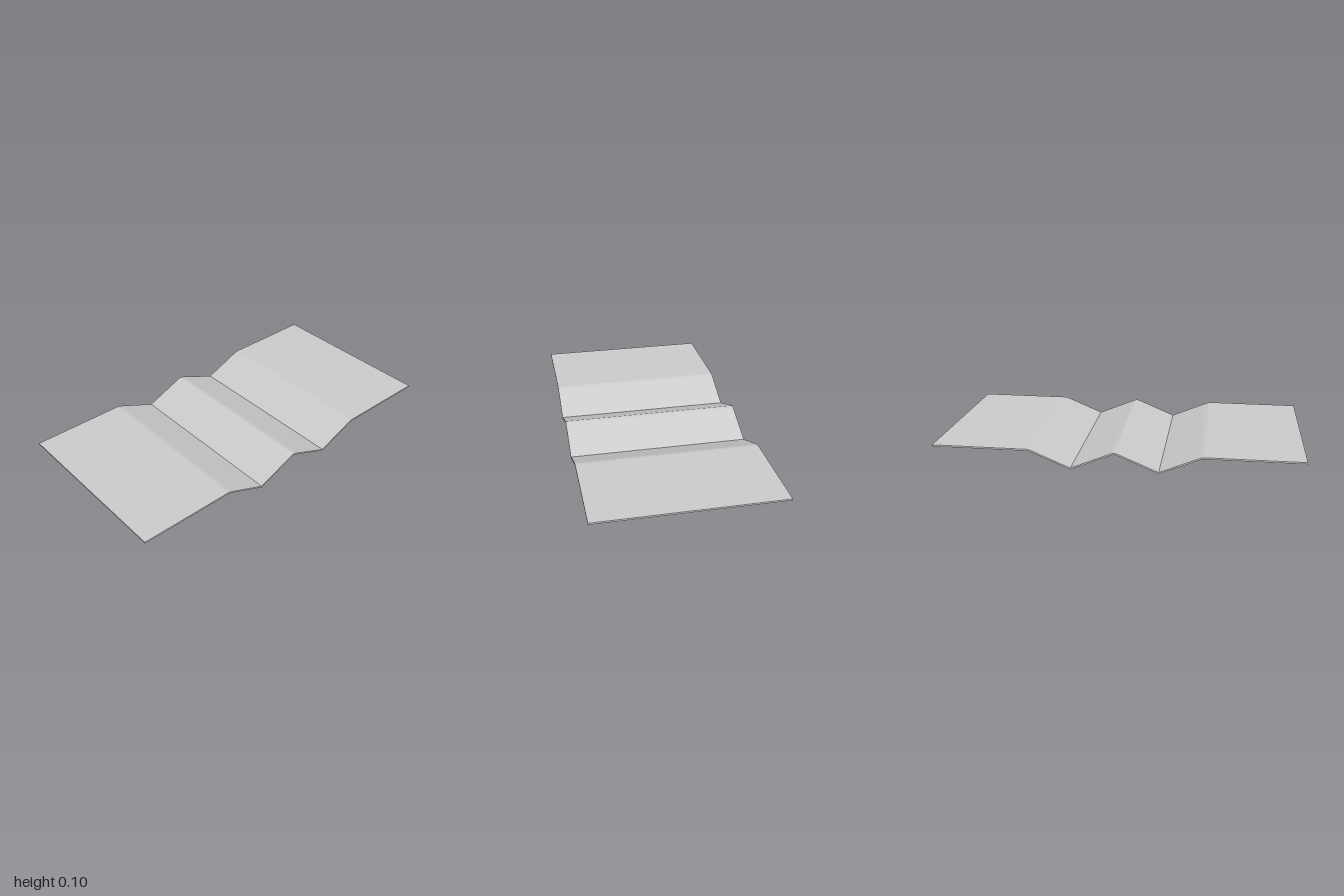
import * as THREE from 'three';

export function createModel() {
  const group = new THREE.Group();
  const thickness = 0.009, depth = 1;

  // Right half of the folded profile: eased crest, sharp valley, flat wing
  const half = [
    [0.012, 0.103], [0.03, 0.096], [0.237, 0.0095],
    [0.445, 0.097], [0.463, 0.103], [0.475, 0.105], [1, 0.105],
  ];
  const top = [
    ...half.map(([x, y]) => [-x, y]).reverse(),
    [0, 0.105],
    ...half,
  ];
  const bottom = top.map(([x, y]) => [x, Math.max(0, y - thickness)]);

  // Closed section, counter-clockwise, swept along z
  const outline = [...bottom, ...top.slice().reverse()];
  const section = new THREE.Shape(outline.map(([x, y]) => new THREE.Vector2(x, y)));
  const geometry = new THREE.ExtrudeGeometry(section, { depth, bevelEnabled: false });
  geometry.translate(0, 0, -depth / 2);

  const sheet = new THREE.Mesh(
    geometry,
    new THREE.MeshStandardMaterial({ color: 0xcccccc, flatShading: true })
  );
  sheet.name = 'foldedSheet';
  group.add(sheet);
  return group;
}
